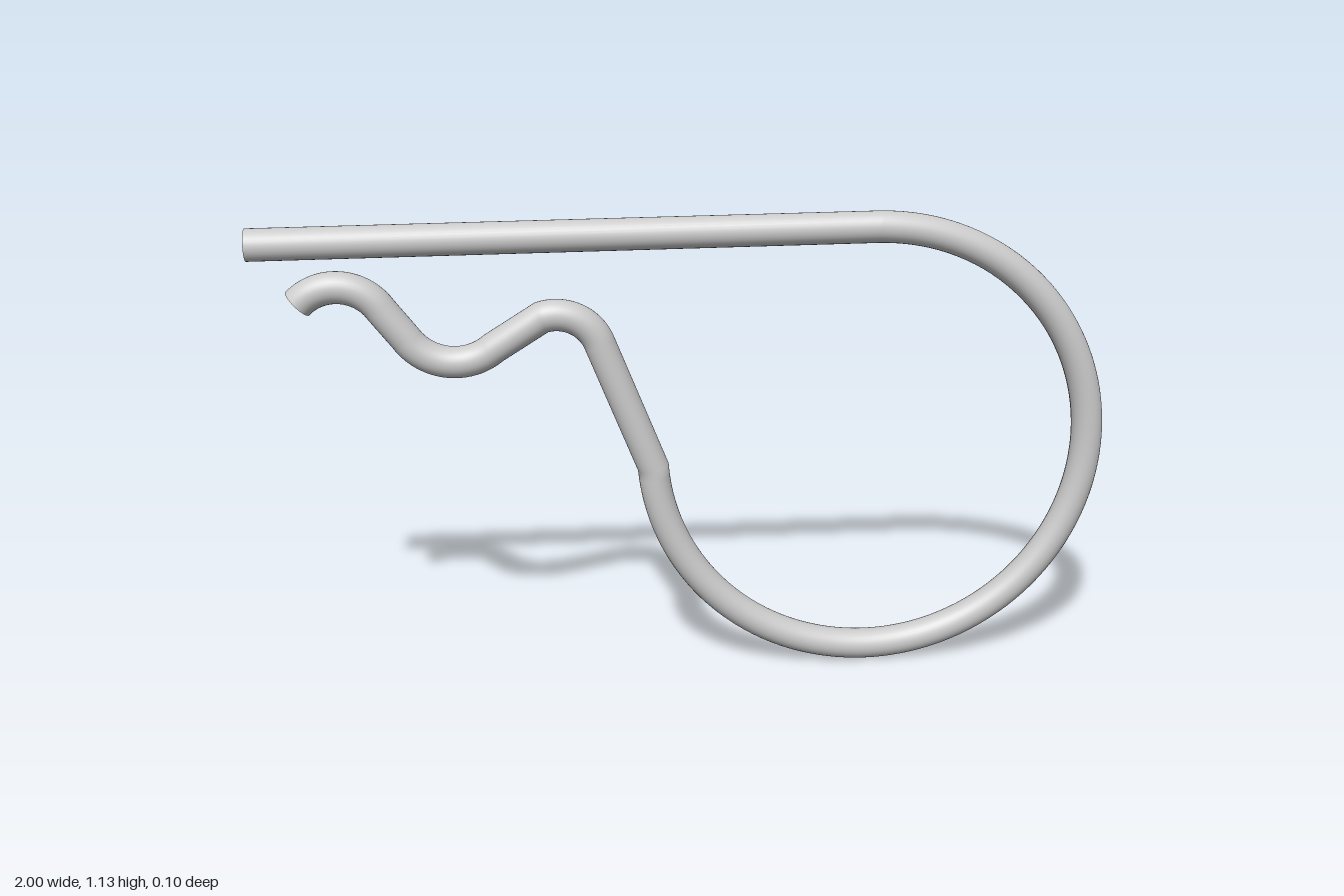
import * as THREE from 'three';

const R = 0.037;      // wire radius
const SIDES = 32;
const TILT = -0.0115; // the clip leans slightly in z along x

// Points on a circular arc, angles in degrees
function arc(cx, cy, r, from, to, steps) {
  const pts = [];
  for (let i = 0; i <= steps; i++) {
    const a = THREE.MathUtils.degToRad(from + (to - from) * i / steps);
    pts.push(new THREE.Vector2(cx + r * Math.cos(a), cy + r * Math.sin(a)));
  }
  return pts;
}

// Sweep a round section along a planar path, mitred at the kinks
function sweepWire(path) {
  const pos = [], index = [];
  path.forEach((p, i) => {
    const prev = path[Math.max(i - 1, 0)], next = path[Math.min(i + 1, path.length - 1)];
    const d1 = (i ? p.clone().sub(prev) : next.clone().sub(p)).normalize();
    const d2 = (i < path.length - 1 ? next.clone().sub(p) : d1.clone()).normalize();
    const t = d1.clone().add(d2).normalize();
    const w = R / t.dot(d1);
    for (let j = 0; j < SIDES; j++) {
      const a = j / SIDES * Math.PI * 2, c = Math.cos(a) * w;
      pos.push(p.x - t.y * c, p.y + t.x * c, TILT * p.x + R * Math.sin(a));
      if (i < path.length - 1) {
        const k = i * SIDES + j, l = i * SIDES + (j + 1) % SIDES;
        index.push(k, l, k + SIDES, l, l + SIDES, k + SIDES);
      }
    }
  });
  const g = new THREE.BufferGeometry();
  g.setAttribute('position', new THREE.Float32BufferAttribute(pos, 3));
  g.setIndex(index);
  g.computeVertexNormals();
  return g;
}

export function createModel() {
  const group = new THREE.Group();
  group.name = 'springClip';
  const material = new THREE.MeshStandardMaterial({ color: 0xcccccc });

  const path = [
    new THREE.Vector2(-1, 1.082),                    // straight arm
    ...arc(0.434, 0.566, 0.527, 90, -175.5, 96),     // big loop
    ...arc(-0.315, 0.795, 0.108, 20, 107, 20),       // first crest
    ...arc(-0.545, 0.932, 0.135, -50, -147, 24),     // trough
    ...arc(-0.81, 0.86, 0.12, 33, 135, 24),          // end crest
  ];

  const wire = new THREE.Mesh(sweepWire(path), material);
  wire.name = 'bentWire';
  group.add(wire);

  // Flat discs closing both cut ends
  const n = path.length;
  [['armEnd', path[0], path[1]], ['crestEnd', path[n - 1], path[n - 2]]].forEach(([name, p, inner]) => {
    const cap = new THREE.Mesh(new THREE.CircleGeometry(R, SIDES), material);
    cap.name = name;
    cap.position.set(p.x, p.y, TILT * p.x);
    cap.lookAt(2 * p.x - inner.x, 2 * p.y - inner.y, TILT * p.x);
    group.add(cap);
  });
  return group;
}
